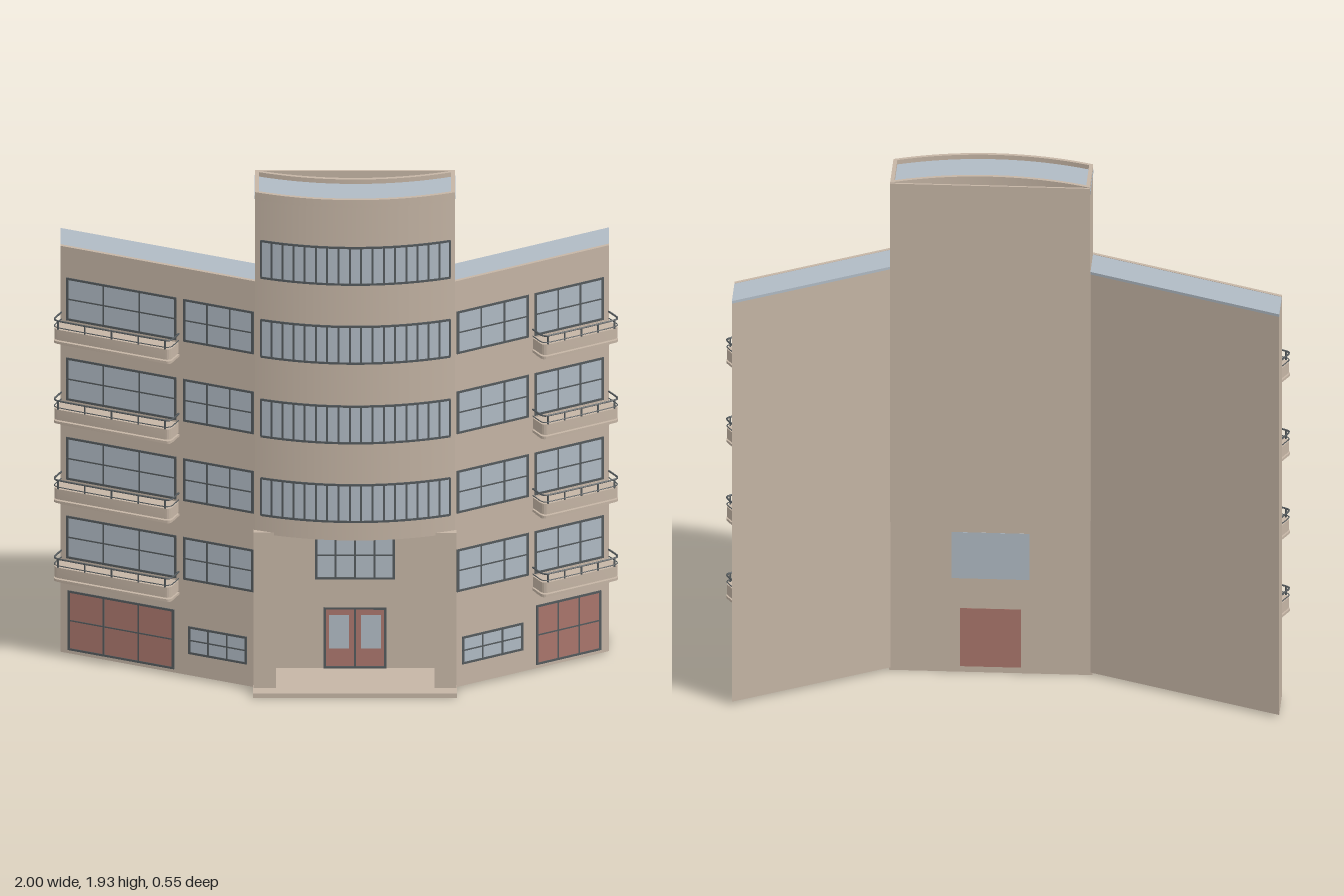
import * as THREE from 'three';
import { toCreasedNormals } from 'three/addons/utils/BufferGeometryUtils.js';

const mat = (name, color) => Object.assign(new THREE.MeshStandardMaterial({ color }), { name });
const stone = mat('stone', 0xc5b5a5);
const glass = mat('glass', 0xb0bac4);
const iron = mat('dark frame', 0x545a5d);
const red = mat('red door', 0xaa766c);

function add(parent, name, geometry, material) {
  const mesh = new THREE.Mesh(geometry, material);
  mesh.name = name;
  parent.add(mesh);
  return mesh;
}

// Box given by its extents
function box(parent, name, material, x0, x1, y0, y1, z0, z1) {
  const mesh = add(parent, name, new THREE.BoxGeometry(x1 - x0, y1 - y0, z1 - z0), material);
  mesh.position.set((x0 + x1) / 2, (y0 + y1) / 2, (z0 + z1) / 2);
  return mesh;
}

// Upright prism from a plan outline of [x, z] points, with an optional hole
function prism(parent, name, material, plan, y0, y1, hole) {
  const flat = (pts) => pts.map(([x, z]) => new THREE.Vector2(x, -z));
  const shape = new THREE.Shape(flat(plan));
  if (hole) shape.holes.push(new THREE.Path(flat(hole)));
  const geo = new THREE.ExtrudeGeometry(shape, { depth: y1 - y0, bevelEnabled: false });
  geo.rotateX(-Math.PI / 2).translate(0, y0, 0);
  return add(parent, name, toCreasedNormals(geo, 0.3), material);
}

// Framed window or door, almost flush with a wall facing local +z
function paned(parent, name, x0, x1, y0, y1, cols, rows, pane = glass, z = 0, back = -0.002) {
  const g = new THREE.Group();
  g.name = name;
  parent.add(g);
  g.position.z = z;
  box(g, 'pane', pane, x0, x1, y0, y1, back, 0.0012);
  for (let i = 0; i <= cols; i++) {
    const x = x0 + ((x1 - x0) * i) / cols;
    const w = i % cols ? 0.003 : 0.0045;
    box(g, 'upright', iron, x - w, x + w, y0, y1, 0, 0.003);
  }
  for (let i = 0; i <= rows; i++) {
    const y = y0 + ((y1 - y0) * i) / rows;
    const w = i % rows ? 0.0025 : 0.004;
    box(g, 'crossbar', iron, x0 - 0.0045, x1 + 0.0045, y - w, y + w, 0, 0.0034);
  }
}

// Balcony plan edge: out from the wall, round two corners and back
function balconyPath(u0, u1, d, r) {
  const pts = [[u0, 0]];
  for (const [cx, start] of [[u0 + r, Math.PI], [u1 - r, Math.PI / 2]]) {
    for (let i = 0; i <= 4; i++) {
      const a = start - (i / 4) * (Math.PI / 2);
      pts.push([cx + r * Math.cos(a), d - r + r * Math.sin(a)]);
    }
  }
  pts.push([u1, 0]);
  return pts;
}

function balcony(parent, u0, u1, b) {
  const g = new THREE.Group();
  g.name = 'balcony';
  parent.add(g);
  const edge = balconyPath(u0, u1, 0.075, 0.02);
  prism(g, 'balconySlab', stone, edge, b - 0.052, b - 0.012);
  prism(g, 'balconyUnderside', stone, balconyPath(u0 + 0.01, u1 - 0.01, 0.055, 0.015), b - 0.078, b - 0.052);
  prism(g, 'balconyLip', stone, balconyPath(u0 - 0.002, u1 + 0.002, 0.077, 0.02), b - 0.066, b - 0.057);
  for (const [y, r] of [[b - 0.004, 0.002], [b + 0.022, 0.0035]]) {
    const curve = new THREE.CatmullRomCurve3(edge.map(([x, z]) => new THREE.Vector3(x, y, z)), false, 'centripetal');
    add(g, 'rail', new THREE.TubeGeometry(curve, 60, r, 6), iron);
  }
  for (let i = 0; i <= 4; i++) {
    const x = u0 + 0.02 + ((u1 - u0 - 0.04) * i) / 4;
    box(g, 'railPost', iron, x - 0.0025, x + 0.0025, b - 0.012, b + 0.022, 0.071, 0.076);
  }
}

const FLOORS = [0.382, 0.687, 0.995, 1.305];

// Angled wing with front wall running from a to b
function wing(root, name, a, b, spec) {
  const g = new THREE.Group();
  g.name = name;
  root.add(g);
  const strip = (z0, z1) => [[a[0], a[1] + z0], [b[0], b[1] + z0], [b[0], b[1] + z1], [a[0], a[1] + z1]];
  prism(g, 'wingBody', stone, strip(-0.16, -0.015), 0.01, 1.573);
  prism(g, 'wingFrontWall', stone, strip(-0.015, 0), 0.01, 1.584);
  prism(g, 'wingRoof', glass, strip(-0.16, -0.015), 1.573, 1.583);

  // Facade details are placed in the plane of the front wall
  const f = new THREE.Group();
  f.name = 'wingFacade';
  g.add(f);
  f.position.set(a[0], 0, a[1]);
  f.rotation.y = Math.atan2(a[1] - b[1], b[0] - a[0]);
  const u = (x) => (x - a[0]) / Math.cos(f.rotation.y);
  for (const y of FLOORS) {
    for (const [x0, x1] of spec.windows) paned(f, 'window', u(x0), u(x1), y, y + 0.157, 3, 2);
    balcony(f, spec.balcony[0], spec.balcony[1], y);
  }
  paned(f, 'garageDoor', u(spec.garage[0]), u(spec.garage[1]), 0.027, 0.25, 3, 2, red);
  paned(f, 'smallWindow', u(spec.small[0]), u(spec.small[1]), 0.097, 0.196, 3, 2);
}

// Bowed front of the tower
const CX = 0.065, R = 0.935, CZ = -0.665;
function arc(x0, x1, offset, shift = 0, n = 32) {
  const a0 = Math.asin((x0 - CX) / R), a1 = Math.asin((x1 - CX) / R);
  return Array.from({ length: n + 1 }, (_, i) => {
    const a = a0 + ((a1 - a0) * i) / n;
    return [CX + (R + offset) * Math.sin(a), CZ + shift + (R + offset) * Math.cos(a)];
  });
}
const band = (x0, x1, inner, outer) => [...arc(x0, x1, outer), ...arc(x0, x1, inner).reverse()];

function bowWindow(parent, y0, y1) {
  const g = new THREE.Group();
  g.name = 'bowWindow';
  parent.add(g);
  const x0 = -0.268, x1 = 0.402, n = 17;
  prism(g, 'bowGlass', glass, band(x0, x1, -0.004, 0.0012), y0, y1);
  for (const y of [y0, y1]) prism(g, 'bowFrame', iron, band(x0, x1, -0.003, 0.0035), y - 0.004, y + 0.004);
  arc(x0, x1, 0, 0, n).forEach(([x, z]) => {
    const bar = add(g, 'mullion', new THREE.BoxGeometry(0.007, y1 - y0, 0.006), iron);
    bar.position.set(x, (y0 + y1) / 2, z);
    bar.rotation.y = Math.atan2(x - CX, z - CZ);
  });
}

function tower(root) {
  const g = new THREE.Group();
  g.name = 'tower';
  root.add(g);
  // Curved plan: side walls moved in by sx, front and back by sz
  const plan = (sx, sz) => [...arc(-0.29 + sx, 0.42 - sx, 0, -sz), ...arc(-0.29 + sx, 0.42 - sx, 0, -0.195 + sz).reverse()];
  prism(g, 'towerBody', stone, plan(0, 0), 0.61, 1.9);
  prism(g, 'towerParapet', stone, plan(0, 0), 1.9, 1.93, plan(0.014, 0.014));
  // Roof slab edge shows on the two side walls
  prism(g, 'towerRoof', glass, plan(-0.001, 0.008), 1.9, 1.913);
  box(g, 'towerBackWall', stone, -0.29, 0.42, 0.6, 1.928, 0, 0.008);
  for (const y of [0.683, 0.988, 1.297, 1.603]) bowWindow(g, y, y + 0.142);
}

function entrance(root) {
  const g = new THREE.Group();
  g.name = 'entrance';
  root.add(g);
  box(g, 'entranceStep', stone, -0.297, 0.427, 0, 0.018, 0.04, 0.272);
  box(g, 'entranceWall', stone, -0.29, 0.42, 0.01, 0.612, 0.04, 0.05);
  for (const [x0, x1] of [[-0.295, -0.215], [0.348, 0.425]]) {
    box(g, 'entrancePier', stone, x0, x1, 0.012, 0.62, 0.045, 0.225);
  }
  // Panes pass through the thin wall so they show on both sides
  paned(g, 'entranceWindow', -0.073, 0.203, 0.367, 0.548, 4, 2, glass, 0.05, -0.011);
  paned(g, 'entranceDoor', -0.043, 0.173, 0.022, 0.25, 2, 1, red, 0.05, -0.011);
  for (const x of [-0.028, 0.086]) box(g, 'doorGlass', glass, x, x + 0.072, 0.095, 0.225, 0.05, 0.053);
}

export function createModel() {
  const root = new THREE.Group();
  root.name = 'apartmentBuilding';
  wing(root, 'rightWing', [-0.98, -0.11], [-0.29, 0.2], {
    windows: [[-0.955, -0.572], [-0.54, -0.298]], balcony: [0.003, 0.46],
    garage: [-0.95, -0.58], small: [-0.522, -0.322],
  });
  wing(root, 'leftWing', [0.42, 0.2], [0.965, -0.12], {
    windows: [[0.43, 0.677], [0.705, 0.943]], balcony: [0.32, 0.632],
    garage: [0.711, 0.933], small: [0.448, 0.657],
  });
  tower(root);
  entrance(root);
  return root;
}
